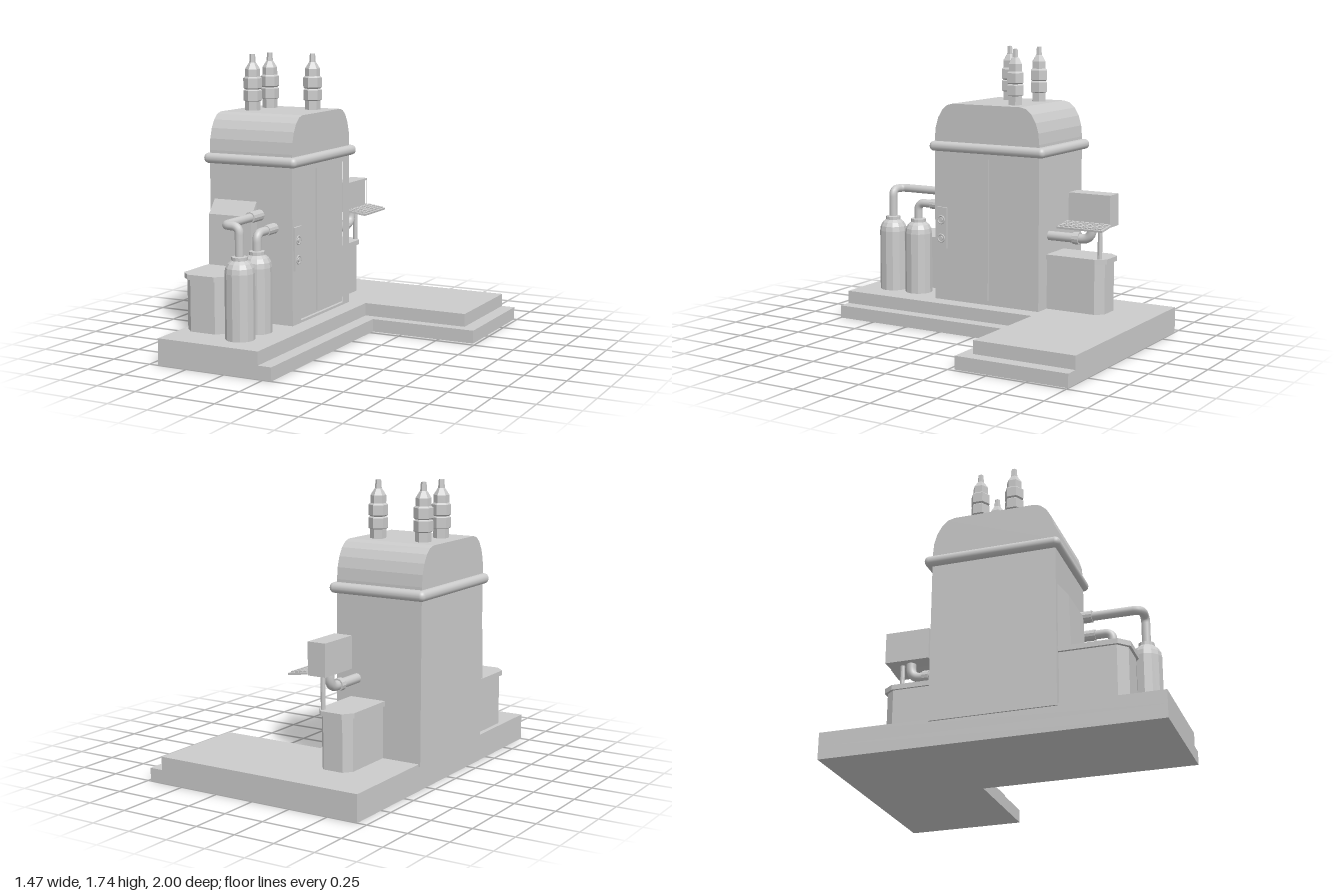
import * as THREE from 'three';
import { RoundedBoxGeometry } from 'three/addons/geometries/RoundedBoxGeometry.js';

const flat = new THREE.MeshStandardMaterial({ color: 0xcccccc, flatShading: true });
const smooth = new THREE.MeshStandardMaterial({ color: 0xcccccc, side: THREE.DoubleSide });

export function createModel() {
  const root = new THREE.Group();

  const add = (name, geo, x = 0, y = 0, z = 0, mat = flat, parent = root) => {
    const m = new THREE.Mesh(geo, mat);
    m.name = name;
    m.position.set(x, y, z);
    parent.add(m);
    return m;
  };
  // box given by its limits
  const box = (name, x0, x1, y0, y1, z0, z1) => add(name,
    new THREE.BoxGeometry(x1 - x0, y1 - y0, z1 - z0), (x0 + x1) / 2, (y0 + y1) / 2, (z0 + z1) / 2);
  const toShape = (pts) => new THREE.Shape(pts.map(([a, b]) => new THREE.Vector2(a, b)));
  // side profile in (z, y), extruded along x
  const sideExtrude = (pts, x0, x1, hole) => {
    const flip = (list) => list.map(([z, y]) => [-z, y]);
    const s = toShape(flip(pts));
    if (hole) s.holes.push(toShape(flip(hole)));
    return new THREE.ExtrudeGeometry(s, { depth: x1 - x0, bevelEnabled: false })
      .rotateY(Math.PI / 2).translate(x0, 0, 0);
  };
  // plan outline in (x, z), extruded upwards
  const planExtrude = (pts, y0, y1) => new THREE.ExtrudeGeometry(
    toShape(pts.map(([x, z]) => [x, -z])), { depth: y1 - y0, bevelEnabled: false })
    .rotateX(-Math.PI / 2).translate(0, y0, 0);
  const lathe = (pts, n) => new THREE.LatheGeometry(pts.map(([r, y]) => new THREE.Vector2(r, y)), n);
  // pipe through points with rounded elbows
  const pipe = (name, coords, r, bend) => {
    const p = coords.map((c) => new THREE.Vector3(...c));
    const path = new THREE.CurvePath();
    let from = p[0];
    for (let i = 1; i < p.length - 1; i++) {
      const a = p[i].clone().add(p[i - 1].clone().sub(p[i]).setLength(bend));
      const b = p[i].clone().add(p[i + 1].clone().sub(p[i]).setLength(bend));
      path.add(new THREE.LineCurve3(from, a));
      path.add(new THREE.QuadraticBezierCurve3(a, p[i], b));
      from = b;
    }
    path.add(new THREE.LineCurve3(from, p[p.length - 1]));
    return add(name, new THREE.TubeGeometry(path, 60, r, 12), 0, 0, 0, smooth);
  };
  const collar = (name, r, length, x, y, z) =>
    add(name, new THREE.CylinderGeometry(r, r, length, 12).rotateX(Math.PI / 2), x, y, z);

  // stepped L-shaped platform
  const ell = (x, xArm, zArm) => [[-0.69, -1], [xArm, -1], [xArm, zArm], [x, zArm], [x, 1], [-0.69, 1]];
  add('lowerStep', planExtrude(ell(0.055, 0.73, -0.285), 0, 0.08));
  add('upperPlatform', planExtrude(ell(-0.03, 0.645, -0.355), 0.08, 0.16));

  // main housing with a curved roof; the outer layer holds the doorway
  const profile = [[0.4, 0.145], [0.4, 1.16]];
  for (let i = 0; i <= 5; i++) {
    const a = (i / 5) * Math.PI / 2;
    profile.push([0.27 + 0.13 * Math.cos(a), 1.18 + 0.22 * Math.sin(a)]);
  }
  for (let i = 5; i >= 0; i--) {
    const a = (i / 5) * Math.PI / 2;
    profile.push([-0.21 - 0.13 * Math.cos(a), 1.18 + 0.22 * Math.sin(a)]);
  }
  profile.push([-0.34, 1.16], [-0.34, 0.145]);
  add('housing', sideExtrude(profile, -0.7, -0.19));
  add('doorwayWall', sideExtrude(profile, -0.19, -0.14,
    [[0.3, 0.175], [0.3, 1.07], [-0.245, 1.07], [-0.245, 0.175]]));
  box('frontDoor', -0.195, -0.18, 0.175, 1.07, 0.04, 0.3);
  box('backDoor', -0.195, -0.18, 0.175, 1.07, -0.245, 0.015);
  add('roofBand', new RoundedBoxGeometry(0.63, 0.062, 0.815, 3, 0.03), -0.42, 1.132, 0.0225, smooth);

  // hexagonal insulators on the roof
  const insulator = [[0.047, 1.39], [0.047, 1.455], [0.057, 1.46], [0.057, 1.52], [0.047, 1.528],
    [0.057, 1.536], [0.057, 1.595], [0.046, 1.605], [0.046, 1.65], [0.024, 1.685], [0.02, 1.69],
    [0.016, 1.74], [0, 1.74]];
  for (const [x, z] of [[-0.57, -0.1], [-0.27, -0.1], [-0.57, 0.11]])
    add('insulator', lathe(insulator, 6), x, 0, z);

  // front cabinet and the sloped hood above it
  const frontPlan = (x0, x1, z1, c) =>
    [[x0, 0.38], [x1, 0.38], [x1, z1 - c], [x1 - c, z1], [x0 + c, z1], [x0, z1 - c]];
  add('frontCabinet', planExtrude(frontPlan(-0.66, -0.39, 0.78, 0.053), 0.16, 0.47));
  add('frontCabinetLid', planExtrude(frontPlan(-0.675, -0.38, 0.795, 0.058), 0.47, 0.5));
  add('sideHood', sideExtrude(
    [[0.38, 0.5], [0.475, 0.5], [0.465, 0.805], [0.4, 0.888], [0.38, 0.888]], -0.67, -0.38));

  // back cabinet
  const backPlan = (x0, x1, z0, cx, cz) =>
    [[x0, -0.32], [x0, z0 + cz], [x0 + cx, z0], [x1 - cx, z0], [x1, z0 + cz], [x1, -0.32]];
  add('backCabinet', planExtrude(backPlan(-0.453, -0.247, -0.713, 0.04, 0.05), 0.16, 0.47));
  add('backCabinetLid', planExtrude(backPlan(-0.465, -0.235, -0.73, 0.045, 0.06), 0.47, 0.5));

  // gas bottles with their pipes
  const bottle = [[0, 0.16], [0.087, 0.16], [0.087, 0.545], [0.082, 0.575], [0.068, 0.6],
    [0.047, 0.617], [0.047, 0.637], [0.03, 0.64], [0, 0.64]];
  for (const z of [0.605, 0.8]) add('gasBottle', lathe(bottle, 12), -0.26, 0, z);
  pipe('outerPipe', [[-0.26, 0.62, 0.8], [-0.26, 0.81, 0.8], [-0.36, 0.81, 0.8], [-0.36, 0.81, 0.39]], 0.026, 0.045);
  pipe('innerPipe', [[-0.26, 0.62, 0.605], [-0.26, 0.74, 0.605], [-0.26, 0.74, 0.39]], 0.026, 0.05);
  collar('outerPipeCollar', 0.034, 0.12, -0.36, 0.81, 0.455);
  collar('innerPipeCollar', 0.032, 0.1, -0.26, 0.74, 0.455);

  // control panel beside the doors
  box('controlPanel', -0.15, -0.127, 0.49, 0.75, 0.308, 0.39);
  for (const y of [0.553, 0.67]) {
    add('dialRing', new THREE.TorusGeometry(0.024, 0.005, 6, 16).rotateY(Math.PI / 2), -0.127, y, 0.348, smooth);
    add('dial', new THREE.CylinderGeometry(0.014, 0.014, 0.012, 12).rotateZ(Math.PI / 2), -0.125, y, 0.348);
  }

  // arm and post carrying the terminal
  pipe('terminalArm', [[-0.275, 0.612, -0.32], [-0.275, 0.612, -0.63], [-0.275, 0.73, -0.63]], 0.029, 0.07);
  collar('armCollar', 0.038, 0.04, -0.275, 0.612, -0.53);
  add('terminalPost', new THREE.CylinderGeometry(0.014, 0.014, 0.24, 10), -0.27, 0.61, -0.687);

  // monitor with a recessed screen facing the platform
  box('monitor', -0.34, -0.24, 0.705, 0.897, -0.772, -0.497);
  add('monitorFrame', sideExtrude(
    [[-0.497, 0.705], [-0.497, 0.897], [-0.772, 0.897], [-0.772, 0.705]], -0.24, -0.225,
    [[-0.509, 0.73], [-0.509, 0.885], [-0.76, 0.885], [-0.76, 0.73]]));

  // tilted keyboard
  const keyboard = new THREE.Group();
  keyboard.name = 'keyboard';
  keyboard.position.set(-0.163, 0.709, -0.633);
  keyboard.rotation.z = -0.14;
  root.add(keyboard);
  add('keyboardTray', new THREE.BoxGeometry(0.127, 0.012, 0.3), 0, 0, 0, flat, keyboard);
  for (let row = 0; row < 4; row++)
    for (let col = 0; col < 9; col++)
      add('key', new THREE.BoxGeometry(0.02, 0.008, 0.023), -0.042 + row * 0.028, 0.009, -0.126 + col * 0.0315, flat, keyboard);

  return root;
}
